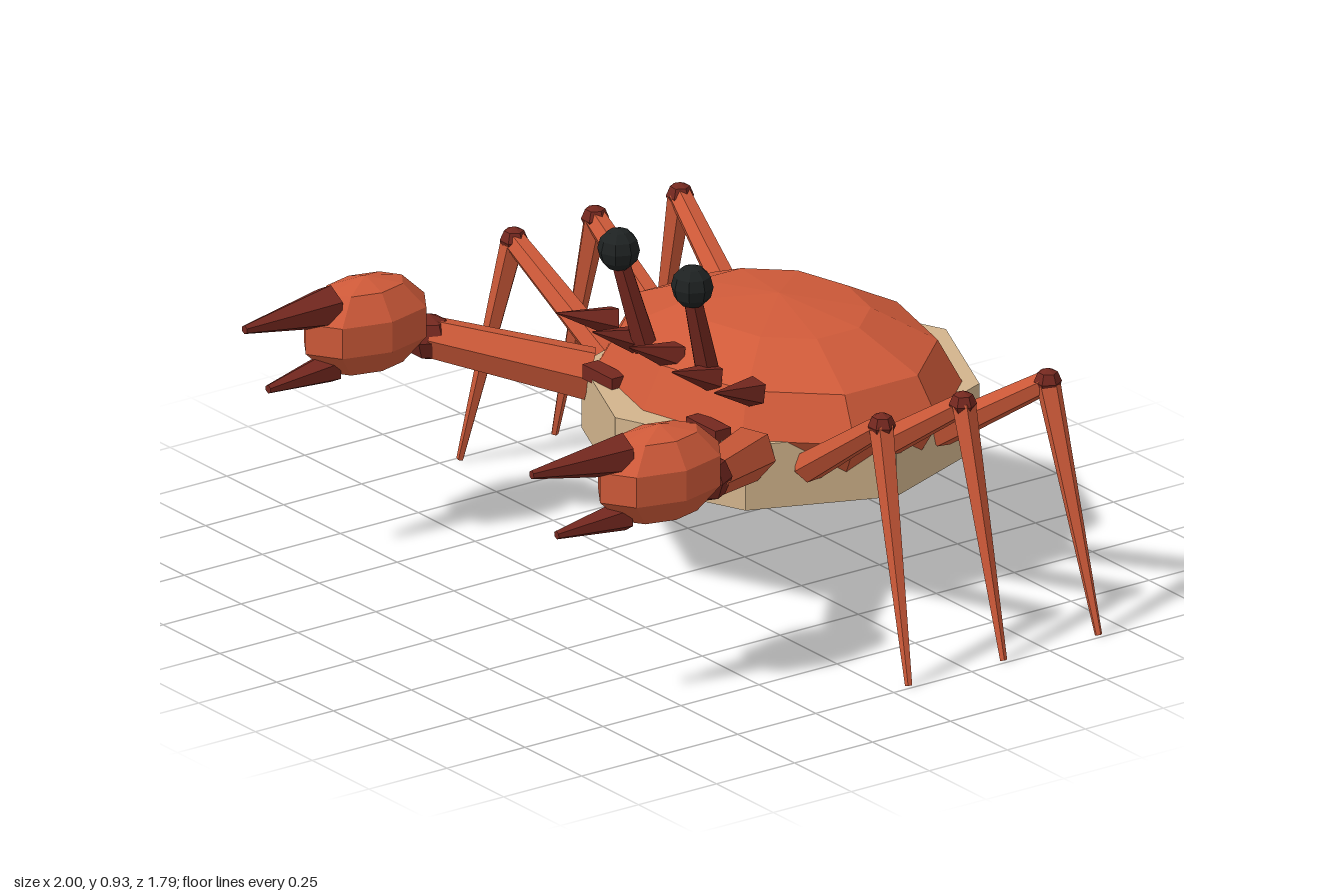
import * as THREE from 'three';

const mat = (name, color) => {
  const m = new THREE.MeshStandardMaterial({ color, flatShading: true });
  m.name = name;
  return m;
};

export function createModel() {
  const shellRed = mat('shell orange red', 0xcf5a39);
  const darkRed = mat('dark red', 0x74281f);
  const sand = mat('sand', 0xd2b48c);
  const black = mat('eye black', 0x1e2222);

  const crab = new THREE.Group();
  crab.name = 'crab';

  const add = (name, geometry, material, parent = crab) => {
    const mesh = new THREE.Mesh(geometry, material);
    mesh.name = name;
    parent.add(mesh);
    return mesh;
  };

  // Faceted ellipsoid
  const ball = (name, center, radii, w, h, material, parent, turn = 0) => {
    const g = new THREE.SphereGeometry(1, w, h).rotateY(turn);
    g.scale(...radii).translate(...center);
    return add(name, g, material, parent);
  };

  // Tapered rod from a (radius ra) to b (radius rb)
  const rod = (name, a, b, ra, rb, sides, material, parent) => {
    const from = new THREE.Vector3(...a);
    const to = new THREE.Vector3(...b);
    const dir = to.clone().sub(from);
    const mesh = add(name, new THREE.CylinderGeometry(rb, ra, dir.length(), sides), material, parent);
    mesh.position.copy(from).add(to).multiplyScalar(0.5);
    mesh.quaternion.setFromUnitVectors(new THREE.Vector3(0, 1, 0), dir.normalize());
    return mesh;
  };

  // Body: domed shell and octagonal belly slab
  ball('shell', [0, 0.484, -0.36], [0.547, 0.227, 0.437], 10, 6, shellRed, crab, Math.PI / 2);
  const slab = new THREE.CylinderGeometry(1, 1, 0.18, 8);
  slab.scale(0.51, 1, 0.53).translate(0, 0.395, -0.365);
  add('belly', slab, sand);

  // Middle spike on the front rim
  rod('rimSpike', [0, 0.61, -0.03], [0, 0.67, 0.12], 0.042, 0.002, 5, darkRed, crab);

  for (const s of [1, -1]) {
    const side = new THREE.Group();
    side.name = s > 0 ? 'leftSide' : 'rightSide';
    crab.add(side);

    // Walking legs: z of base, knee and foot
    for (const [zb, zk, zf] of [[-0.15, -0.1, -0.057], [-0.36, -0.36, -0.36], [-0.57, -0.632, -0.665]]) {
      const leg = new THREE.Group();
      leg.name = 'leg';
      side.add(leg);
      const knee = [s * 0.81, 0.66, zk];
      rod('upperLeg', [s * 0.42, 0.41, zb], knee, 0.044, 0.032, 6, shellRed, leg);
      ball('knee', knee, [0.037, 0.037, 0.037], 6, 4, darkRed, leg);
      rod('lowerLeg', knee, [s * 0.988, 0.003, zf], 0.034, 0.01, 5, shellRed, leg);
    }

    // Claw
    const claw = new THREE.Group();
    claw.name = 'claw';
    side.add(claw);
    const wrist = [s * 0.615, 0.55, 0.315];
    rod('arm', [s * 0.35, 0.455, -0.01], wrist, 0.073, 0.057, 6, shellRed, claw);
    ball('wrist', wrist, [0.064, 0.064, 0.064], 6, 4, darkRed, claw);
    ball('palm', [s * 0.648, 0.617, 0.495], [0.126, 0.135, 0.2], 8, 5, shellRed, claw);
    rod('upperFinger', [s * 0.645, 0.692, 0.61], [s * 0.632, 0.697, 0.893], 0.06, 0.012, 6, darkRed, claw);
    rod('lowerFinger', [s * 0.645, 0.525, 0.605], [s * 0.635, 0.512, 0.815], 0.045, 0.012, 6, darkRed, claw);

    // Eye on its stalk
    rod('eyeStalk', [s * 0.14, 0.59, -0.035], [s * 0.16, 0.85, 0.036], 0.036, 0.026, 6, darkRed, side);
    ball('eye', [s * 0.162, 0.873, 0.036], [0.056, 0.058, 0.056], 8, 6, black, side);

    // Outer rim spikes
    rod('rimSpike', [s * 0.165, 0.605, -0.03], [s * 0.175, 0.655, 0.11], 0.04, 0.002, 5, darkRed, side);
    rod('rimSpike', [s * 0.312, 0.605, -0.055], [s * 0.348, 0.65, 0.1], 0.042, 0.002, 5, darkRed, side);

    // Mouth part
    add('mouthPart', new THREE.BoxGeometry(0.13, 0.04, 0.05).translate(s * 0.228, 0.495, 0.032), darkRed, side);
  }

  return crab;
}
